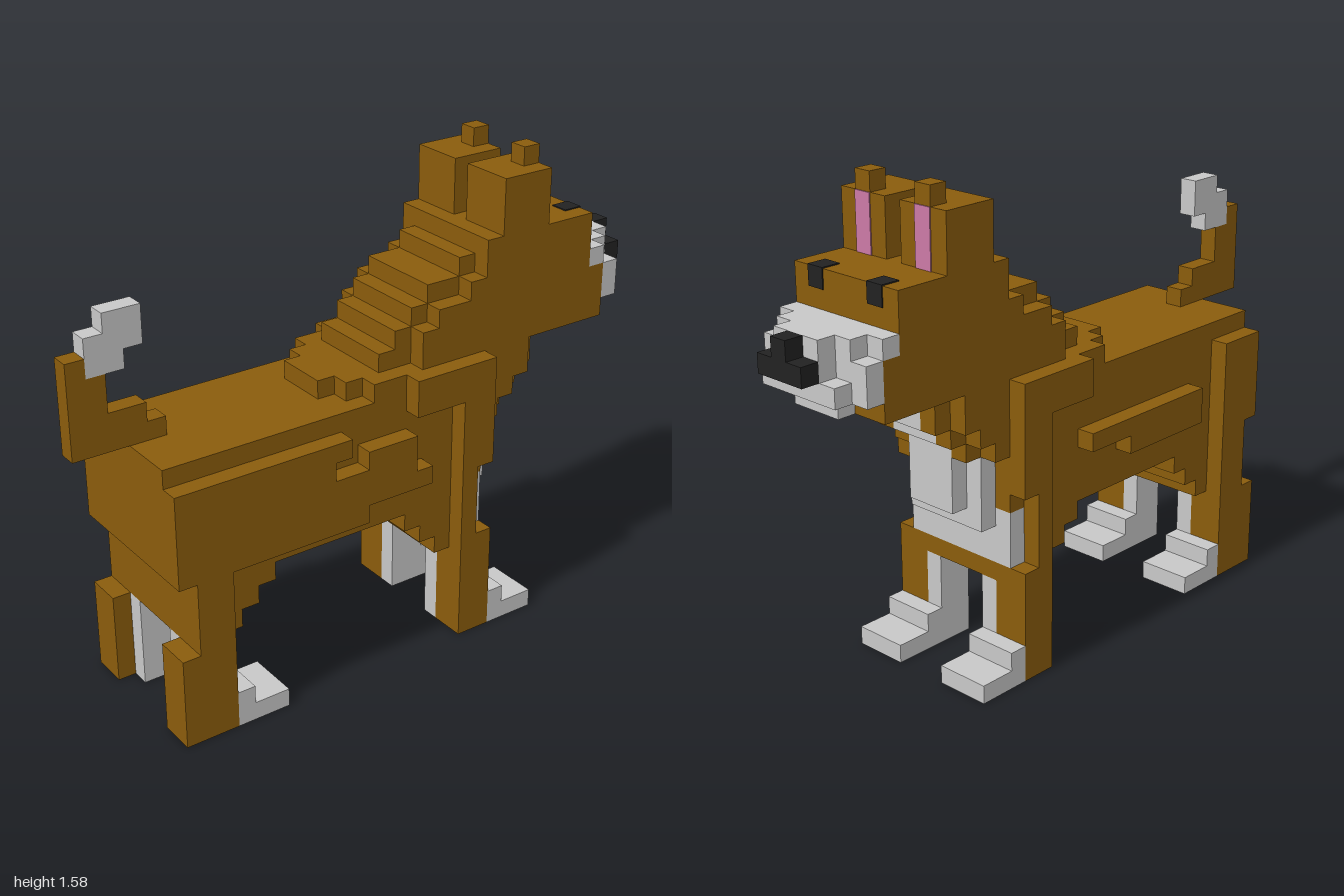
import * as THREE from 'three';

const V = 2 / 33; // edge of one voxel

export function createModel() {
  const dog = new THREE.Group();
  dog.name = 'voxelDog';
  const mat = (name, color) => {
    const m = new THREE.MeshStandardMaterial({ color });
    m.name = name;
    return m;
  };
  const brown = mat('brownFur', 0x8a5c0c);
  const white = mat('whiteFur', 0xc8c8c8);
  const black = mat('black', 0x222222);
  const pink = mat('innerEarPink', 0xcc7aa6);

  // Box from voxel bounds; x counts from the tail end, y from the ground, z from the middle
  const box = (name, m, x0, x1, y0, y1, z0, z1) => {
    const mesh = new THREE.Mesh(new THREE.BoxGeometry((x1 - x0) * V, (y1 - y0) * V, (z1 - z0) * V), m);
    mesh.position.set(((x0 + x1) / 2 - 16.5) * V, ((y0 + y1) / 2) * V, ((z0 + z1) / 2) * V);
    mesh.name = name;
    dog.add(mesh);
  };
  const mid = (name, m, x0, x1, y0, y1, hz) => box(name, m, x0, x1, y0, y1, -hz, hz);
  const pair = (name, m, x0, x1, y0, y1, z0, z1) => {
    box(name, m, x0, x1, y0, y1, z0, z1);
    box(name, m, x0, x1, y0, y1, -z1, -z0);
  };

  // Body
  mid('rump', brown, 3, 6, 9, 15, 3.5);
  mid('body', brown, 6, 21, 8, 15, 3.5);
  mid('chest', brown, 21, 22, 9, 16, 3.5);
  mid('withers', brown, 13, 14, 15, 16, 1.5);
  mid('withers', brown, 14, 15, 15, 16, 2.5);
  mid('withers', brown, 15, 21, 15, 16, 3.5);

  // Raised flank rows on the left side: x0, x1, y0
  [[3, 14, 9], [3, 18, 10], [3, 17, 11], [3, 12, 12], [14, 17, 12], [3, 13, 13]]
    .forEach(([x0, x1, y]) => box('leftFlank', brown, x0, x1, y, y + 1, 3.5, 4.5));
  // Raised flank rows on the right side
  [[3, 6, 9, 14], [8, 14, 10, 11], [8, 17, 11, 12]]
    .forEach(([x0, x1, y0, y1]) => box('rightFlank', brown, x0, x1, y0, y1, -4.5, -3.5));
  pair('shoulder', brown, 17, 20, 14, 16, 3.5, 4.5);

  // Stepped belly behind the front legs and before the hind legs
  for (let i = 0; i < 3; i++) {
    mid('frontBellyStep', brown, 17 + i, 20, 7 - i, 8 - i, 3.5);
    mid('hindBellyStep', brown, 6, 9 - i, 7 - i, 8 - i, 3.5);
  }
  mid('frontLegBridge', brown, 20, 21, 5, 8, 3.5);
  mid('frontLegBridge', brown, 21, 22, 5, 6, 3.5);
  mid('hindLegBridge', brown, 4, 6, 5, 9, 3.5);

  // Front legs
  pair('frontLeg', brown, 20, 22, 0, 5, 2.5, 4.5);
  pair('frontLeg', brown, 20, 22, 5, 6, 3.5, 4.5);
  pair('frontLeg', brown, 20, 21, 6, 10, 3.5, 4.5);
  pair('frontLeg', brown, 20, 22, 10, 16, 3.5, 4.5);
  // Hind legs
  pair('hindLeg', brown, 3, 6, 0, 5, 2.5, 4.5);
  pair('hindLeg', brown, 4, 6, 5, 9, 3.5, 4.5);
  // White inner legs and stepped feet
  [[20, 22], [4, 6]].forEach(([x0, x1]) => {
    pair('innerLeg', white, x0, x1, 0, 5, 1.5, 2.5);
    pair('foot', white, x1, x1 + 3, 0, 1, 1.5, 4.5);
    pair('foot', white, x1, x1 + 1, 1, 2, 1.5, 4.5);
  });

  // White chest in three layers
  mid('chestPatch', white, 21, 22, 6, 9, 3.5);
  mid('chestPatch', white, 22, 23, 8, 12, 2.5);
  mid('chestPatch', white, 23, 24, 9, 12, 1.5);

  // Throat rows: front x, y0, y1, half width
  [[24, 12, 13, 2.5], [25, 13, 14, 2.5], [26, 14, 16, 2.5]].forEach(([x, y0, y1, hz]) => {
    mid('throat', brown, 22, x - 1, y0, y1, 3.5);
    pair('throatSide', brown, x - 1, x, y0, y1, 1.5, hz);
    mid('throatPatch', white, x - 1, x, y0, y1, 1.5);
  });

  // Stepped nape, with sides one voxel lower
  [17, 18, 19, 20, 20, 21].forEach((top, i) => {
    mid('nape', brown, 16 + i, 17 + i, 15, top, 2.5);
    if (i > 1) mid('napeSide', brown, 16 + i, 17 + i, 15, top - 1, 3.5);
  });

  // Head and jaw
  mid('head', brown, 22, 29, 17, 22, 3.5);
  mid('cheeks', brown, 29, 30, 17, 19, 3.5);
  pair('jawSide', brown, 22, 30, 16, 17, 1.5, 3.5);
  mid('jawCore', brown, 22, 26, 16, 17, 1.5);
  mid('jaw', white, 26, 31, 16, 17, 1.5);
  // Muzzle and nose
  mid('muzzle', white, 29, 30, 19, 20, 3.5);
  mid('muzzle', white, 30, 31, 17, 19, 3.5);
  mid('muzzle', white, 30, 31, 19, 20, 2.5);
  mid('muzzle', white, 31, 32, 17, 18, 2.5);
  mid('muzzle', white, 31, 32, 18, 20, 1.5);
  mid('nose', black, 32, 33, 18, 19, 1.5);
  mid('nose', black, 32, 33, 19, 20, 0.5);
  // Eyes wrap the upper front edge of the head
  pair('eye', black, 28, 29.06, 21, 22.06, 1.5, 2.5);

  // Ears
  pair('ear', brown, 23, 26, 22, 25, 0.5, 3.5);
  pair('earTip', brown, 25, 26, 25, 26, 1.5, 2.5);
  pair('innerEar', pink, 26, 26.06, 22, 25, 1.5, 2.5);

  // Curled tail with a white tip
  [[0, 5, 15, 16], [0, 4, 16, 17], [0, 2, 17, 19], [0, 1, 19, 20]]
    .forEach(([x0, x1, y0, y1]) => mid('tail', brown, x0, x1, y0, y1, 0.5));
  [[1, 3, 19, 20], [1, 4, 20, 21], [2, 4, 21, 22]]
    .forEach(([x0, x1, y0, y1]) => mid('tailTip', white, x0, x1, y0, y1, 0.5));

  return dog;
}
